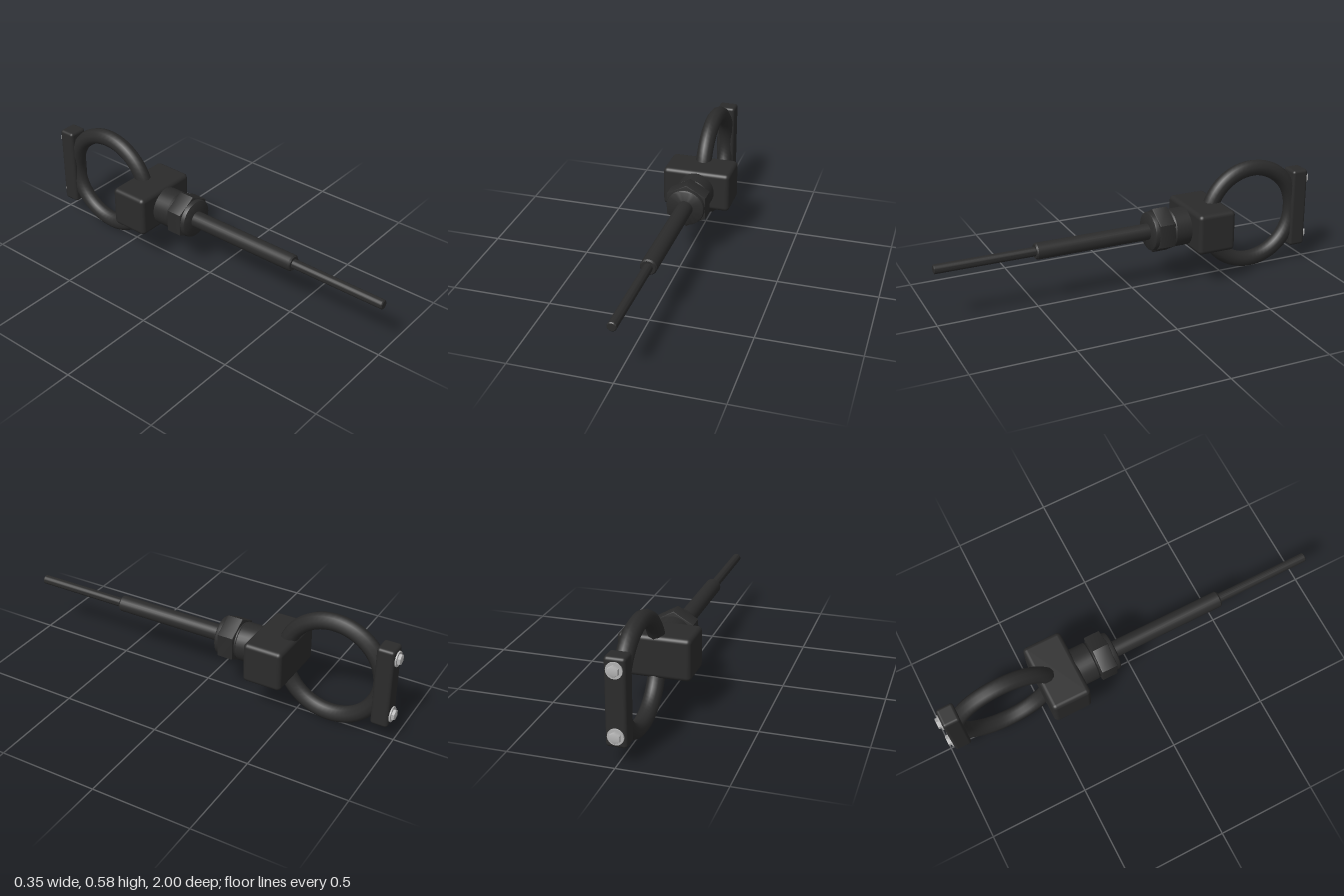
import * as THREE from 'three';
import { toCreasedNormals } from 'three/addons/utils/BufferGeometryUtils.js';
import { RoundedBoxGeometry } from 'three/addons/geometries/RoundedBoxGeometry.js';

const AXIS_Y = 0.29; // height of the cable axis

export function createModel() {
  const group = new THREE.Group();
  const black = new THREE.MeshStandardMaterial({ color: 0x2b2b2b });
  black.name = 'black rubber';
  const steel = new THREE.MeshStandardMaterial({ color: 0xb4b4b4 });
  steel.name = 'steel';

  const add = (name, geometry, material, y = AXIS_Y, z = 0) => {
    const mesh = new THREE.Mesh(geometry, material);
    mesh.name = name;
    mesh.position.set(0, y, z);
    group.add(mesh);
    return mesh;
  };
  // Solid turned about the z axis from [radius, z] points, running from back to front
  const turned = (points, sides = 32) => {
    const g = new THREE.LatheGeometry(points.map(([r, z]) => new THREE.Vector2(r, z)), sides);
    g.rotateX(Math.PI / 2);
    return toCreasedNormals(g, 0.6);
  };
  // Chamfered hexagonal prism along z with a corner pointing up
  const hexagon = (radius, depth, bevel) => {
    const shape = new THREE.Shape();
    for (let i = 0; i < 6; i++) {
      const a = Math.PI / 2 + (i * Math.PI) / 3, r = radius - bevel;
      if (i) shape.lineTo(r * Math.cos(a), r * Math.sin(a));
      else shape.moveTo(r * Math.cos(a), r * Math.sin(a));
    }
    shape.closePath();
    const g = new THREE.ExtrudeGeometry(shape, {
      depth: depth - 2 * bevel, bevelEnabled: true, bevelThickness: bevel, bevelSize: bevel, bevelSegments: 2,
    });
    g.translate(0, 0, bevel - depth / 2);
    return toCreasedNormals(g, 0.5);
  };

  // Cable and its thicker sleeve
  add('cable', turned([[0, 0.45], [0.023, 0.45], [0.023, 0.996], [0.019, 1], [0, 1]], 20), black);
  add('cableSleeve', turned([[0, -0.12], [0.041, -0.12], [0.041, 0.5], [0.035, 0.508], [0, 0.508]], 24), black);

  // Cable gland: collar, hexagonal nut and rounded cap
  add('glandCollar', turned([[0, -0.3], [0.096, -0.3], [0.096, -0.205], [0.09, -0.198], [0.09, -0.18], [0, -0.18]]), black);
  add('glandNut', hexagon(0.115, 0.084, 0.006), black, AXIS_Y, -0.15);
  add('glandCap', turned([[0, -0.13], [0.098, -0.13], [0.098, -0.097], [0.095, -0.089],
    [0.087, -0.084], [0, -0.084]]), black);

  // Junction block
  add('block', new RoundedBoxGeometry(0.35, 0.207, 0.2, 4, 0.022), black, 0.291, -0.386);

  // Ring passing through the block
  const ring = new THREE.TorusGeometry(0.248, 0.041, 10, 64);
  ring.rotateY(Math.PI / 2);
  add('ring', ring, black, AXIS_Y, -0.67);

  // Clamp bar at the back, with a bolt at each end
  add('clampBar', new RoundedBoxGeometry(0.098, 0.414, 0.086, 3, 0.015), black, 0.293, -0.936);
  for (const side of [-1, 1]) {
    const y = 0.293 + side * 0.152;
    add('washer', turned([[0, -0.986], [0.038, -0.986], [0.038, -0.97], [0, -0.97]], 24), steel, y);
    add('boltHead', hexagon(0.027, 0.02, 0.004), steel, y, -0.99);
  }
  return group;
}
